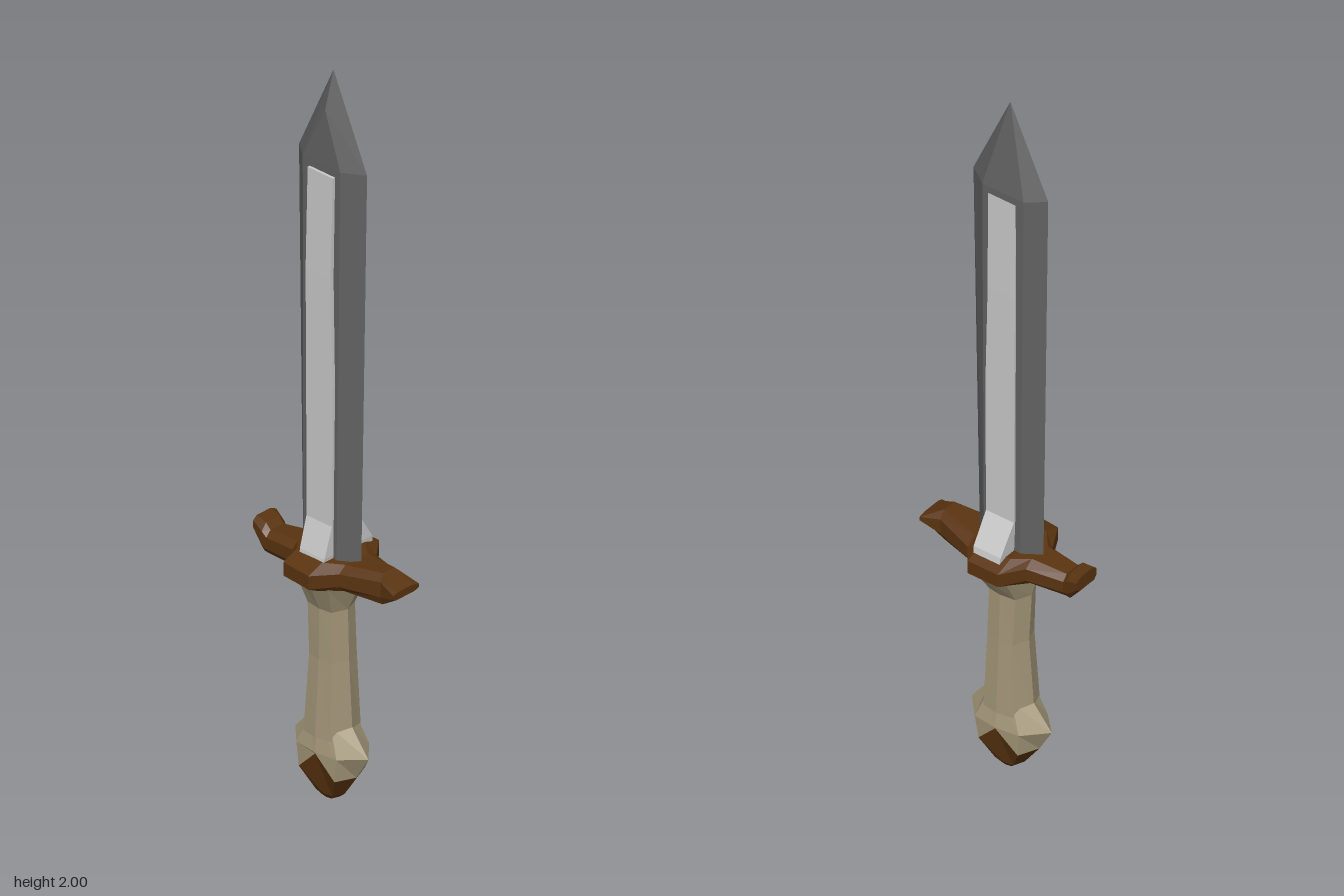
import * as THREE from 'three';

const mat = (name, color, flat = true) => {
  const m = new THREE.MeshStandardMaterial({ color, flatShading: flat });
  m.name = name;
  return m;
};

// Skins a list of equal-length rings of [x, y, z] points, with capped ends.
function loft(rings) {
  const n = rings[0].length, tris = [];
  for (let r = 0; r + 1 < rings.length; r++) {
    for (let i = 0; i < n; i++) {
      const j = (i + 1) % n;
      const a = rings[r][i], b = rings[r][j], c = rings[r + 1][j], d = rings[r + 1][i];
      tris.push([a, b, c], [a, c, d]);
    }
  }
  const first = rings[0], last = rings[rings.length - 1];
  for (let i = 1; i + 1 < n; i++) {
    tris.push([first[0], first[i + 1], first[i]], [last[0], last[i], last[i + 1]]);
  }
  // the signed volume tells whether the faces point outwards
  const v = (p) => new THREE.Vector3(...p);
  const volume = tris.reduce((s, [a, b, c]) => s + v(a).dot(v(b).cross(v(c))), 0);
  if (volume < 0) tris.forEach((t) => t.reverse());
  const g = new THREE.BufferGeometry();
  g.setAttribute('position', new THREE.Float32BufferAttribute(tris.flat(2), 3));
  g.computeVertexNormals();
  return g;
}

// Eight-sided ring at height y: side points, front/back points and four corners.
// yFront sets a different height for the front and back points.
function octRing(y, x0, x1, z0, z1, corner, yFront = y) {
  const k = corner;
  return [
    [x1, y, 0], [x1 * k, y, z1 * 0.88], [0, yFront, z1], [x0 * k, y, z1 * 0.88],
    [x0, y, 0], [x0 * k, y, z0 * 0.88], [0, yFront, z0], [x1 * k, y, z0 * 0.88],
  ];
}

export function createModel() {
  const steel = mat('dark steel', 0x616161);
  const bright = mat('bright steel', 0xc8c8c8);
  const wood = mat('dark brown', 0x5a3410);
  const bone = mat('tan grip', 0xa39678);
  const model = new THREE.Group();
  const add = (name, rings, material) => {
    const mesh = new THREE.Mesh(loft(rings), material);
    mesh.name = name;
    model.add(mesh);
  };

  // blade: hexagonal section, the flat faces narrowing to a ridge below the tip
  const bladeRing = (y, x0, x1, a0, a1, zf, zb, yFlat = y) => [
    [x1, y, -0.004], [a1, yFlat, zf], [a0, yFlat, zf],
    [x0, y, -0.004], [a0, y, zb], [a1, y, zb],
  ];
  add('blade', [
    bladeRing(0.63, -0.1, 0.092, -0.06, 0.05, 0.038, -0.043),
    bladeRing(1.75, -0.115, 0.112, -0.07, 0.055, 0.03, -0.043),
    bladeRing(2, 0, 0, 0, 0, 0.025, -0.004, 1.9),
  ], steel);

  // bright fullers on both faces, flaring outwards at the guard
  const fuller = (name, s, flare, face) => {
    const row = (y, x0, x1, z) => [[x0, y, 0], [x1, y, 0], [x1, y, s * z], [x0, y, s * z]];
    add(name, [
      row(0.65, -0.04, 0.035, flare),
      row(0.69, -0.042, 0.04, flare * 0.92),
      row(0.77, -0.045, 0.04, face),
      row(1.15, -0.046, 0.042, face),
      row(1.45, -0.048, 0.035, face),
      row(1.73, -0.046, 0.038, face - 0.005),
    ], bright);
  };
  fuller('frontFuller', 1, 0.075, 0.043);
  fuller('backFuller', -1, 0.105, 0.048);

  // guard: [x, back z, front z, bottom, top], chamfered sections along x
  const guard = [
    [-0.235, -0.05, 0.03, 0.645, 0.685],
    [-0.2, -0.04, 0.037, 0.603, 0.68],
    [-0.185, -0.036, 0.037, 0.602, 0.665],
    [-0.09, -0.06, 0.045, 0.605, 0.675],
    [-0.055, -0.125, 0.112, 0.608, 0.682],
    [0.036, -0.125, 0.12, 0.608, 0.682],
    [0.075, -0.075, 0.055, 0.605, 0.675],
    [0.185, -0.04, 0.025, 0.603, 0.688],
    [0.24, -0.05, 0.038, 0.64, 0.66],
  ];
  add('guard', guard.map(([x, z0, z1, yb, yt]) => {
    const c = (yt - yb) * 0.25;
    return [
      [x, yb, z0 * 0.7], [x, yb, z1 * 0.7], [x, yb + c, z1], [x, yt - c, z1],
      [x, yt, z1 * 0.6], [x, yt, z0 * 0.6], [x, yt - c, z0], [x, yb + c, z0],
    ];
  }), wood);

  // grip: waisted, flaring under the guard
  add('grip', [
    octRing(0.18, -0.07, 0.068, -0.06, 0.06, 0.65),
    octRing(0.39, -0.054, 0.056, -0.05, 0.047, 0.7),
    octRing(0.53, -0.062, 0.052, -0.046, 0.046, 0.7),
    octRing(0.61, -0.085, 0.09, -0.1, 0.08, 0.6),
  ], bone);

  // pommel: faceted knob with a dark lower cap that peaks at front and back
  const seam = octRing(0.075, -0.085, 0.08, -0.062, 0.06, 0.72, 0.135);
  add('pommel', [
    seam,
    octRing(0.14, -0.123, 0.12, -0.067, 0.062, 0.55),
    octRing(0.215, -0.06, 0.062, -0.05, 0.05, 0.6),
  ], bone);
  add('pommelCap', [
    octRing(0, -0.022, 0.022, -0.022, 0.022, 0.7),
    octRing(0.014, -0.04, 0.04, -0.032, 0.032, 0.7),
    seam,
  ], wood);

  return model;
}
